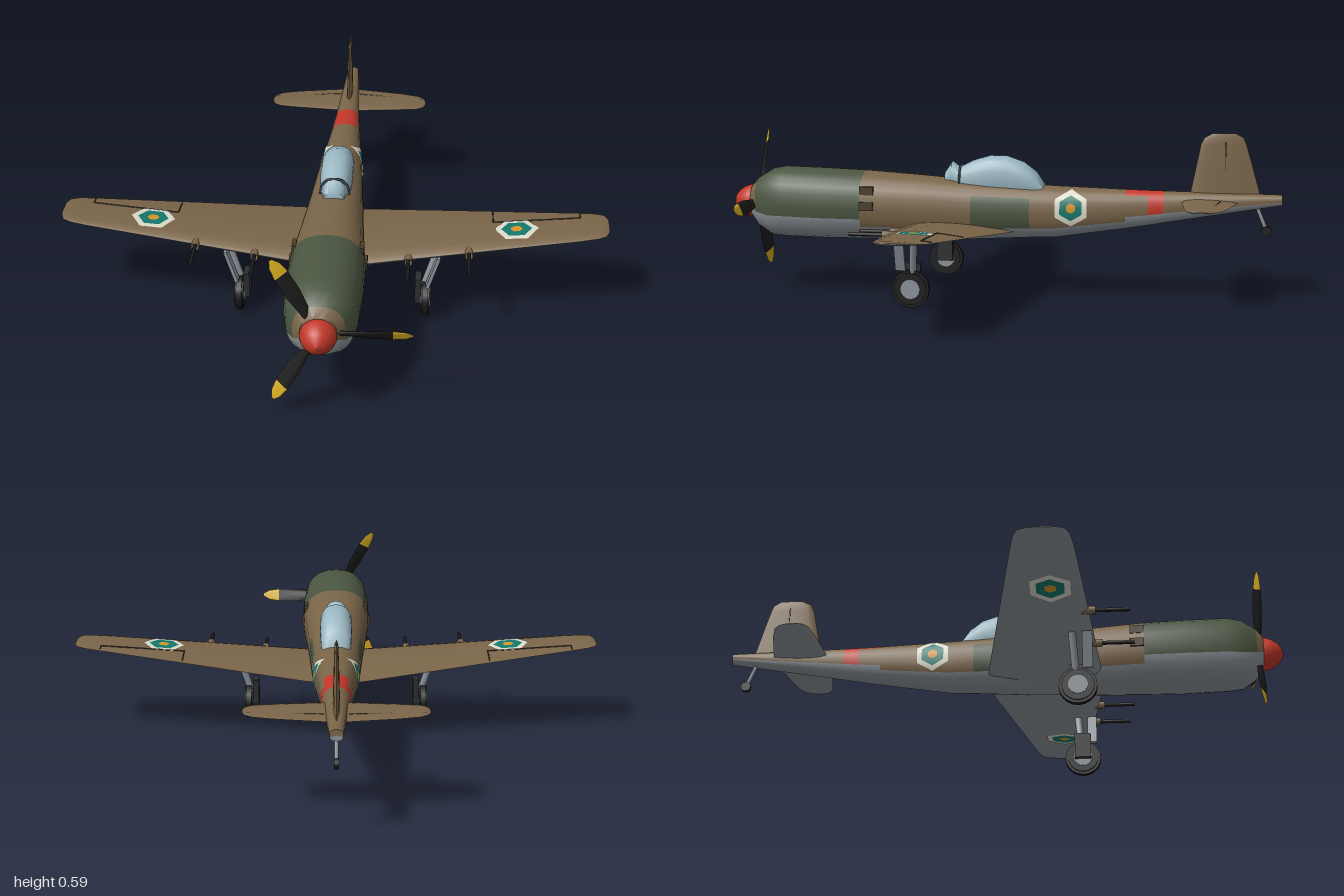
import * as THREE from 'three';
import { toCreasedNormals } from 'three/addons/utils/BufferGeometryUtils.js';

const BROWN = 0x7a6549, GREEN = 0x4b5642, GREY = 0x8b9298, RED = 0xc2382a, BLACK = 0x1a1a1a;
const YELLOW = 0xd6ad22, GLASS = 0x9ab7c2, TEAL = 0x14786c, WHITE = 0xdcdccb, ORANGE = 0xd9982a;

const mat = (color, side = THREE.FrontSide) => new THREE.MeshStandardMaterial({ color, side });

function add(parent, name, geo, color, pos = [0, 0, 0], rot = [0, 0, 0]) {
  const m = new THREE.Mesh(geo, typeof color === 'number' ? mat(color) : color);
  m.name = name;
  m.position.set(...pos);
  m.rotation.set(...rot);
  parent.add(m);
  return m;
}

// Skin over closed rings; paint(i, j) gives the colour of each panel
function loft(parent, name, rings, paint, crease = 0.75) {
  const n = rings[0].length, byColor = new Map();
  const tri = (c, ...t) => { if (!byColor.has(c)) byColor.set(c, []); byColor.get(c).push(...t); };
  const pts = rings.flat();
  for (let i = 0; i < rings.length - 1; i++) for (let j = 0; j < n; j++) {
    const a = i * n + j, b = i * n + (j + 1) % n;
    tri(paint(i, j), a, a + n, b, a + n, b + n, b);
  }
  [0, rings.length - 1].forEach((i) => {
    const mid = rings[i].reduce((s, p) => s.add(p), new THREE.Vector3()).divideScalar(n);
    const c = pts.push(mid) - 1;
    for (let j = 0; j < n; j++) {
      const a = i * n + j, b = i * n + (j + 1) % n;
      tri(paint(Math.max(0, i - 1), j), c, ...(i ? [b, a] : [a, b]));
    }
  });
  const geo = new THREE.BufferGeometry().setFromPoints(pts), index = [], mats = [];
  byColor.forEach((t, c) => {
    geo.addGroup(index.length, t.length, mats.length);
    mats.push(mat(c));
    index.push(...t);
  });
  geo.setIndex(index);
  return add(parent, name, toCreasedNormals(geo, crease), mats);
}

// Interpolate the rows of a table ordered by its first column
function row(table, key) {
  const dir = Math.sign(table[1][0] - table[0][0]);
  let i = 0;
  while (i < table.length - 2 && (key - table[i + 1][0]) * dir > 0) i++;
  const a = table[i], b = table[i + 1];
  const f = THREE.MathUtils.clamp((key - a[0]) / (b[0] - a[0]), 0, 1);
  return a.map((v, k) => v + (b[k] - v) * f);
}

// Body section: half width w, from bottom b to top t
const POW = 2.4, SIDES = 24;
const bulge = (v) => Math.sign(v) * Math.abs(v) ** (2 / POW);
function bodyRing([z, w, b, t], sides = SIDES) {
  return Array.from({ length: sides }, (_, j) => {
    const a = j / sides * Math.PI * 2;
    return new THREE.Vector3(w * bulge(Math.cos(a)), (b + t) / 2 + (t - b) / 2 * bulge(Math.sin(a)), z);
  });
}

// Aerofoil: u along the chord from the nose, v across; top first, then bottom
const M = 8;
const thick = (u) => 2.6 * Math.sqrt(u) * (1 - u);
const FOIL = Array.from({ length: 2 * M }, (_, k) => {
  const u = (1 - Math.cos(Math.PI * k / M)) / 2;
  return [u, (k < M ? 1 : -1) * thick(u)];
});
const foilRing = (place) => FOIL.map(([u, v]) => new THREE.Vector3(...place(u, v)));
const mirrored = (t) => [...t.map((r) => [-r[0], ...r.slice(1)]).reverse(), ...t.filter((r) => r[0] > 0)];
const topBottom = (i, j) => (j < M ? BROWN : GREY);

// z, half width, bottom, top
const BODY = [[0.925, 0.06, 0.27, 0.39], [0.9, 0.085, 0.237, 0.417], [0.85, 0.112, 0.205, 0.448],
  [0.8, 0.122, 0.2, 0.457], [0.65, 0.129, 0.197, 0.453], [0.5, 0.127, 0.198, 0.447], [0.3, 0.112, 0.2, 0.434],
  [0.1, 0.099, 0.204, 0.418], [-0.11, 0.087, 0.215, 0.407], [-0.2, 0.08, 0.218, 0.403], [-0.45, 0.058, 0.255, 0.395],
  [-0.53, 0.052, 0.268, 0.393], [-0.585, 0.048, 0.278, 0.392], [-0.8, 0.034, 0.315, 0.389], [-1, 0.022, 0.348, 0.386]];
function bodySide(y, z) {
  const [, w, b, t] = row(BODY, z);
  const v = Math.min(1, Math.abs((y - (b + t) / 2) / ((t - b) / 2)));
  return w * (1 - v ** POW) ** (1 / POW);
}

// x, leading z, trailing z, mid y, half thickness
const WING = [[0, 0.35, -0.06, 0.236, 0.03], [0.12, 0.345, -0.05, 0.248, 0.028], [0.5, 0.31, 0.013, 0.288, 0.019],
  [0.86, 0.275, 0.073, 0.325, 0.011], [0.92, 0.265, 0.085, 0.331, 0.009], [0.95, 0.25, 0.1, 0.334, 0.007],
  [0.962, 0.215, 0.13, 0.335, 0.002]];
function wingY(x, z, side) {
  const [, l, t, y, h] = row(WING, Math.abs(x));
  return y + side * (h * thick(THREE.MathUtils.clamp((l - z) / (l - t), 0, 1)) + 0.002);
}
const TAIL = [[0, -0.645, -0.85, 0.358, 0.011], [0.2, -0.665, -0.815, 0.358, 0.008], [0.27, -0.675, -0.795, 0.358, 0.006],
  [0.292, -0.69, -0.775, 0.358, 0.005], [0.302, -0.715, -0.75, 0.358, 0.002]];
// y, leading z, trailing z, half thickness
const FIN = [[0.375, -0.675, -0.925, 0.012], [0.5, -0.7, -0.89, 0.009], [0.56, -0.712, -0.872, 0.007],
  [0.585, -0.725, -0.862, 0.006], [0.6, -0.755, -0.835, 0.002]];

// Hexagonal marking laid on a surface by the rule place(a, b)
function marking(parent, name, radius, place) {
  [[0, 0.28, ORANGE], [0.28, 0.7, TEAL], [0.7, 1, WHITE]].forEach(([r0, r1, color]) => {
    const geo = new THREE.RingGeometry(r0 * radius, r1 * radius, 48, 4), p = geo.attributes.position;
    for (let i = 0; i < p.count; i++) {
      const a = Math.atan2(p.getY(i), p.getX(i)) + Math.PI * 2, s = Math.PI / 3;
      const k = Math.cos(s / 2) / Math.cos((a + 1e-6) % s - s / 2);
      p.setXYZ(i, ...place(p.getX(i) * k, p.getY(i) * k));
    }
    geo.computeVertexNormals();
    add(parent, name, geo, mat(color, THREE.DoubleSide));
  });
}

// Round bar between two points
function bar(parent, name, a, b, r, color) {
  const path = new THREE.LineCurve3(new THREE.Vector3(...a), new THREE.Vector3(...b));
  return add(parent, name, new THREE.TubeGeometry(path, 1, r, 10), mat(color, THREE.DoubleSide));
}

export function createModel() {
  const plane = new THREE.Group();
  plane.name = 'propellerPlane';

  // Fuselage with painted cowling, cockpit sides, belly and tail band
  loft(plane, 'fuselage', BODY.map((r) => bodyRing(r)), (i, j) => {
    const z = (BODY[i][0] + BODY[i + 1][0]) / 2, deg = (j + 0.5) * 360 / SIDES;
    const lift = Math.asin(Math.sin(deg * Math.PI / 180)) * 180 / Math.PI;
    if (lift < (z > 0.4 || z < -0.4 ? -15 : -30)) return GREY;
    if (z > 0.5 && z < 0.91) return GREEN;
    if (z < -0.45 && z > -0.585 && (z < -0.53 || lift > 45)) return RED;
    return z > -0.11 && z < 0.1 && lift < 30 ? GREEN : BROWN;
  });

  // Canopy and windscreen
  const dome = [[0.145, 0.05, 0.35, 0.47], [0.1, 0.055, 0.35, 0.492], [0.04, 0.058, 0.35, 0.509], [-0.02, 0.058, 0.35, 0.508],
    [-0.08, 0.056, 0.35, 0.487], [-0.125, 0.053, 0.35, 0.452], [-0.155, 0.046, 0.35, 0.408]];
  loft(plane, 'canopy', dome.map((r) => bodyRing(r)), () => GLASS);
  loft(plane, 'windscreen', [[0.205, 0.036, 0.38, 0.45], [0.18, 0.04, 0.38, 0.487], [0.15, 0.048, 0.38, 0.465]].map((r) => bodyRing(r, 12)), () => GLASS);
  const arch = new THREE.CatmullRomCurve3(bodyRing([0.148, 0.051, 0.35, 0.472]), true);
  add(plane, 'canopyFrame', new THREE.TubeGeometry(arch, 48, 0.004, 6, true), 0x3b4a50);

  // Wing, tailplane and fin
  const flat = ([x, l, t, y, h]) => foilRing((u, v) => [x, y + v * h, l + (t - l) * u]);
  loft(plane, 'wing', mirrored(WING).map(flat), topBottom);
  loft(plane, 'tailplane', mirrored(TAIL).map(flat), topBottom);
  loft(plane, 'fin', FIN.map(([y, l, t, h]) => foilRing((u, v) => [-v * h, y, l + (t - l) * u])), () => BROWN);
  for (const s of [-1, 1]) bar(plane, 'rudderHinge', [s * 0.008, 0.4, -0.8], [s * 0.005, 0.57, -0.8], 0.002, 0x2c2519);

  // Spinner and three twisted blades
  const prop = new THREE.Group();
  prop.name = 'propeller';
  prop.position.set(0, 0.327, 0.91);
  plane.add(prop);
  const nose = [[0, -0.01], [0.06, -0.01], [0.06, 0.025], [0.053, 0.047], [0.04, 0.067], [0.022, 0.082], [0, 0.09]];
  add(prop, 'spinner', new THREE.LatheGeometry(nose.map((p) => new THREE.Vector2(...p)), 24), RED, [0, 0, 0], [Math.PI / 2, 0, 0]);
  // radius, chord, half thickness, twist
  const BLADE = [[0.03, 0.022, 0.008, 0.8], [0.09, 0.036, 0.007, 0.9], [0.16, 0.052, 0.006, 1], [0.235, 0.05, 0.004, 1.1],
    [0.275, 0.037, 0.003, 1.15], [0.298, 0.01, 0.001, 1.2]];
  for (let k = 0; k < 3; k++) {
    const rings = BLADE.map(([r, c, h, tw]) => foilRing((u, v) => {
      const a = (0.45 - u) * c, b = v * h;
      return [r, a * Math.sin(tw) + b * Math.cos(tw), a * Math.cos(tw) - b * Math.sin(tw)];
    }));
    loft(prop, 'blade', rings, (i) => (i > 2 ? YELLOW : BLACK)).rotation.z = k * Math.PI * 2 / 3;
  }

  for (const s of [-1, 1]) {
    // Markings on both wing faces and the fuselage side
    for (const face of [-1, 1]) marking(plane, 'wingMarking', 0.077, (a, b) => {
      const x = s * 0.64 + a, z = 0.19 + b;
      return [x, wingY(x, z, face), z];
    });
    marking(plane, 'fuselageMarking', 0.065, (a, b) => {
      const y = 0.332 + a, z = -0.258 + b;
      return [s * (bodySide(y, z) + 0.003), y, z];
    });

    // Aileron and elevator gaps
    const outline = [[0.56, 0.04], [0.56, 0.13], [0.865, 0.12], [0.865, 0.085]];
    for (let i = 0; i < 3; i++) {
      const [a, b] = [outline[i], outline[i + 1]].map(([x, z]) => [s * x, wingY(x, z, 1) - 0.001, z]);
      bar(plane, 'aileronGap', a, b, 0.0022, 0x33291c);
    }
    bar(plane, 'elevatorGap', [s * 0.04, 0.364, -0.785], [s * 0.29, 0.359, -0.755], 0.0025, 0x33291c);

    // Wing guns
    for (const [x, tip] of [[0.267, 0.465], [0.475, 0.45]]) {
      const y = row(WING, x)[3], lead = row(WING, x)[1];
      bar(plane, 'gunFairing', [s * x, y, lead - 0.05], [s * x, y, lead + 0.022], 0.014, BROWN);
      bar(plane, 'gunBarrel', [s * x, y, lead], [s * x, y, tip], 0.007, BLACK);
    }

    // Vents behind the cowling
    for (const y of [0.33, 0.385]) {
      add(plane, 'vent', new THREE.BoxGeometry(0.014, 0.03, 0.05), 0x4a3d2c, [s * bodySide(y, 0.475), y, 0.475]);
    }

    // Main landing gear
    const gear = new THREE.Group();
    gear.name = 'landingGear';
    plane.add(gear);
    const cross = [0, 0, Math.PI / 2];
    add(gear, 'tyre', new THREE.CylinderGeometry(0.066, 0.066, 0.02, 20), BLACK, [s * 0.328, 0.075, 0.268], cross);
    add(gear, 'tyreWall', new THREE.CylinderGeometry(0.056, 0.056, 0.03, 20), BLACK, [s * 0.328, 0.075, 0.268], cross);
    add(gear, 'hub', new THREE.CylinderGeometry(0.034, 0.034, 0.035, 16), GREY, [s * 0.328, 0.075, 0.268], cross);
    add(gear, 'wheelGuard', new THREE.BoxGeometry(0.022, 0.095, 0.06), 0x2b2d2e, [s * 0.302, 0.115, 0.268]);
    bar(gear, 'strut', [s * 0.372, 0.275, 0.25], [s * 0.322, 0.12, 0.262], 0.013, GREY);
    add(gear, 'gearDoor', new THREE.BoxGeometry(0.012, 0.125, 0.035), GREY, [s * 0.353, 0.2, 0.303], [0, 0, -s * 0.31]);
  }

  // Tail wheel
  bar(plane, 'tailStrut', [0, 0.36, -0.905], [0, 0.262, -0.945], 0.007, GREY);
  add(plane, 'tailWheel', new THREE.CylinderGeometry(0.018, 0.018, 0.016, 14), BLACK, [0, 0.256, -0.947], [0, 0, Math.PI / 2]);
  return plane;
}
